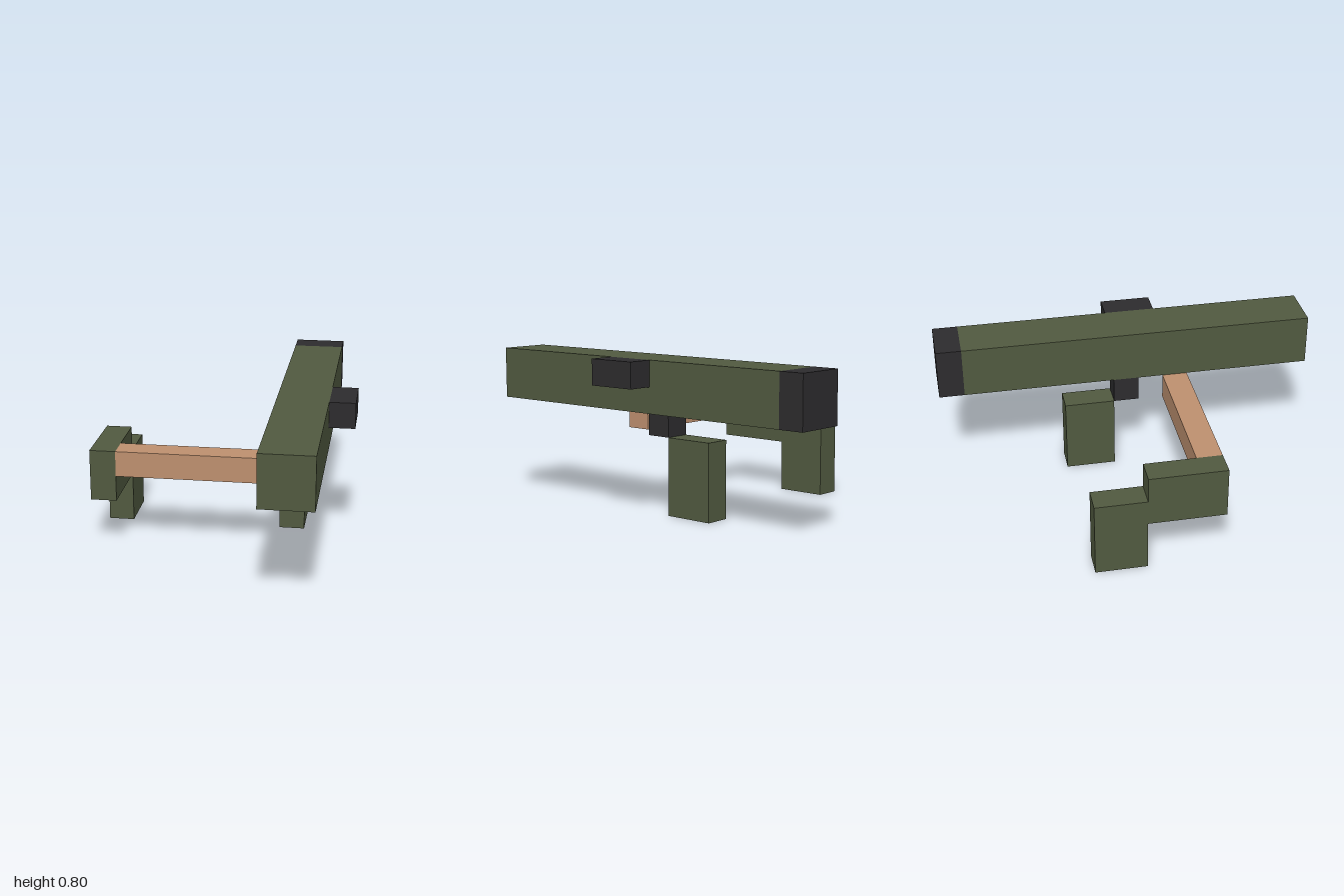
import * as THREE from 'three';

const U = 2 / 15; // block size

export function createModel() {
  const group = new THREE.Group();
  const mat = (name, color) => {
    const m = new THREE.MeshStandardMaterial({ color });
    m.name = name;
    return m;
  };
  const olive = mat('olive', 0x515a40);
  const charcoal = mat('charcoal', 0x2d2c2e);
  const tan = mat('tan', 0xbe906f);

  // Box spanning two opposite corners, given in block units
  const block = (name, material, [x0, y0, z0], [x1, y1, z1]) => {
    const geo = new THREE.BoxGeometry((x1 - x0) * U, (y1 - y0) * U, (z1 - z0) * U);
    const mesh = new THREE.Mesh(geo, material);
    mesh.position.set((x0 + x1) / 2, (y0 + y1) / 2, (z0 + z1) / 2).multiplyScalar(U);
    mesh.name = name;
    group.add(mesh);
  };

  // Long tube with dark rear end and side sight
  block('tube', olive, [2, 4, -6.5], [4, 6, 7.5]);
  block('tubeRearCap', charcoal, [2, 4, -7.5], [4, 6, -6.5]);
  block('sight', charcoal, [4, 5, -0.5], [5, 6, 1.5]);

  // Trigger and grip under the tube
  block('trigger', charcoal, [2, 3, -0.5], [3, 4, 0.5]);
  block('grip', olive, [2, 0, -2.5], [3, 3, -0.5]);

  // Crossbar to the stepped side support
  block('crossbar', tan, [-4, 3, 1.5], [2, 4, 2.5]);
  block('supportUpper', olive, [-5, 2, -0.5], [-4, 4, 2.5]);
  block('supportLower', olive, [-5, 0, -2.5], [-4, 3, -0.5]);

  return group;
}
